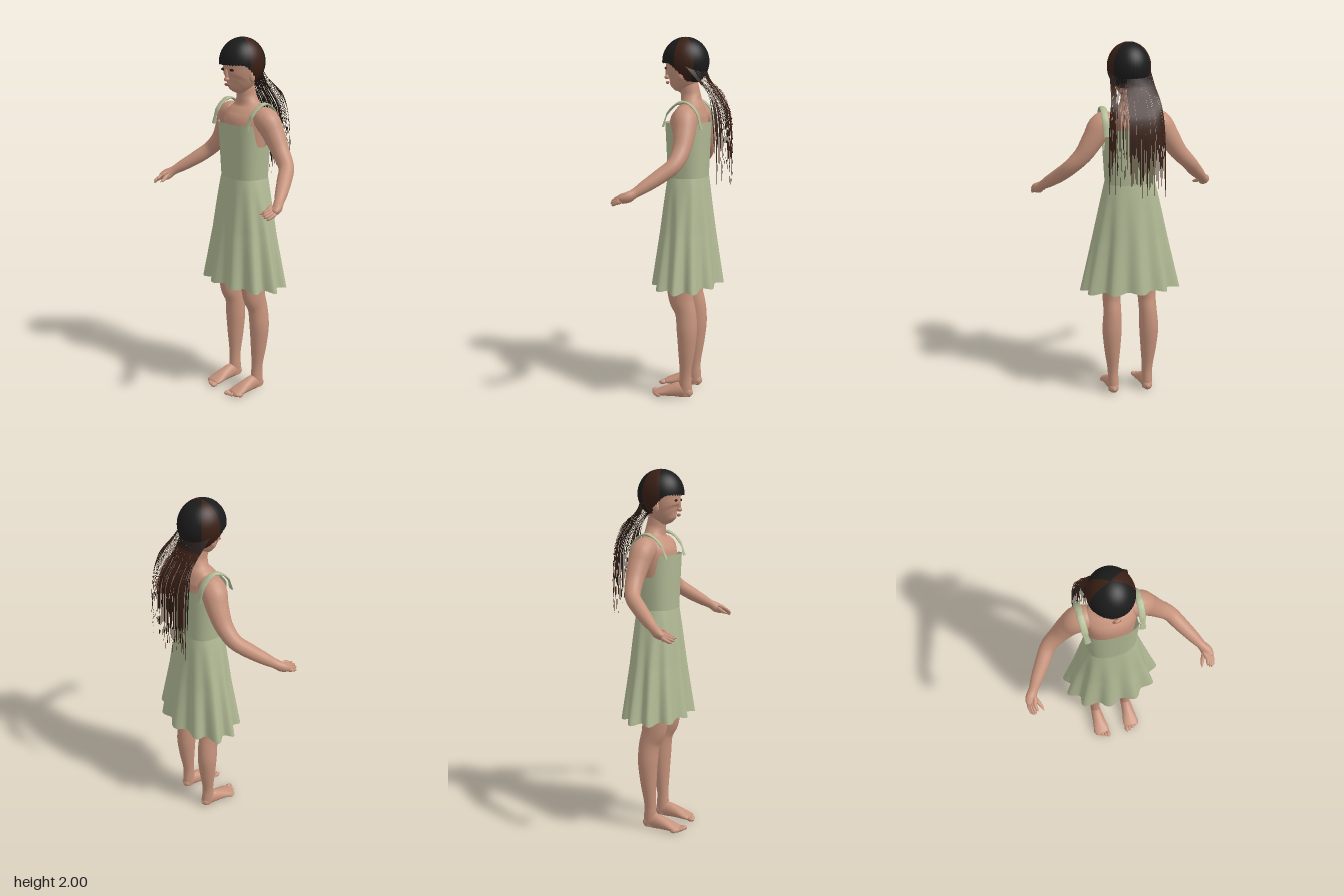
import * as THREE from 'three';
import { mergeVertices, mergeGeometries } from 'three/addons/utils/BufferGeometryUtils.js';

const V = (x, y, z) => new THREE.Vector3(x, y, z);
const { smoothstep, lerp } = THREE.MathUtils;
const TAU = Math.PI * 2;

function paint(name, color, open) {
  const m = new THREE.MeshStandardMaterial({ color });
  m.name = name;
  if (open) m.side = THREE.DoubleSide;
  return m;
}

// Smooth surface from a rule fn(u, v) -> point, u and v in 0..1
function surface(fn, nu, nv) {
  const pos = [], idx = [];
  for (let i = 0; i <= nu; i++)
    for (let j = 0; j <= nv; j++) pos.push(...fn(i / nu, j / nv).toArray());
  for (let i = 0; i < nu; i++)
    for (let j = 0; j < nv; j++) {
      const a = i * (nv + 1) + j, b = a + nv + 1;
      idx.push(a, a + 1, b, a + 1, b + 1, b);
    }
  let g = new THREE.BufferGeometry();
  g.setAttribute('position', new THREE.Float32BufferAttribute(pos, 3));
  g.setIndex(idx);
  g = mergeVertices(g, 1e-5);
  g.computeVertexNormals();
  return g;
}

// Elliptical rings along a smooth path; rows are [x, y, z, r1, r2]
function loft(rows, { k = 1, ref = V(1, 0, 0), nu = 40, nv = 24 } = {}) {
  const path = new THREE.CatmullRomCurve3(rows.map(r => V(r[0] * k, r[1], r[2])));
  const radii = new THREE.CatmullRomCurve3(rows.map(r => V(r[3], r[4] ?? r[3], 0)));
  return surface((u, v) => {
    const t = path.getTangent(u), r = radii.getPoint(u);
    const s = ref.clone().addScaledVector(t, -ref.dot(t)).normalize();
    const b = t.clone().cross(s), a = (v % 1) * TAU;
    return path.getPoint(u).addScaledVector(s, Math.cos(a) * r.x).addScaledVector(b, Math.sin(a) * r.y);
  }, nu, nv);
}

export function createModel() {
  const model = new THREE.Group();
  model.name = 'girlInDress';
  const skin = paint('skin', 0xc6937c), cloth = paint('sageCloth', 0xb0b994, true);
  const black = paint('blackHair', 0x1c1b1b, true), brown = paint('brownHair', 0x3a2015, true);
  const lip = paint('lip', 0xa5655a), eye = paint('eye', 0x2a1a16);
  const add = (name, geo, mat, parent = model) => {
    const m = new THREE.Mesh(geo, mat);
    m.name = name;
    parent.add(m);
    return m;
  };
  const ball = (name, mat, p, s) => {
    const m = add(name, new THREE.SphereGeometry(1, 16, 12), mat);
    m.position.set(...p);
    m.scale.set(...s);
  };

  // Torso with neck, and head
  add('torso', loft([
    [0, 1.28, -.015, .12, .09], [0, 1.42, -.015, .13, .095], [0, 1.54, -.02, .14, .103],
    [0, 1.59, -.03, .142, .088], [0, 1.63, -.035, .115, .068], [0, 1.66, -.033, .072, .056],
    [0, 1.70, -.027, .052, .053], [0, 1.78, -.01, .05, .05]]), skin);
  add('head', loft([
    [0, 1.716, .06, .004, .004], [0, 1.724, .055, .032, .038], [0, 1.75, .036, .06, .068],
    [0, 1.78, .02, .078, .088], [0, 1.82, .01, .09, .1], [0, 1.87, 0, .1, .111],
    [0, 1.93, 0, .09, .1], [0, 1.975, 0, .04, .05]]), skin);
  ball('nose', skin, [0, 1.786, .106], [.015, .012, .015]);
  ball('noseBridge', skin, [0, 1.812, .104], [.009, .03, .011]);
  ball('lips', lip, [0, 1.757, .102], [.023, .008, .008]);

  for (const k of [1, -1]) {
    const side = k > 0 ? 'left' : 'right';
    ball(side + 'Eye', eye, [k * .036, 1.835, .1], [.017, .007, .006]);
    ball(side + 'Ear', skin, [k * .09, 1.80, .005], [.012, .03, .018]);

    // Arm, palm and fingers
    add(side + 'Arm', loft([
      [.1, 1.58, -.035, .058], [.155, 1.57, -.04, .068], [.205, 1.5, -.05, .059], [.262, 1.415, -.05, .048],
      [.328, 1.347, -.03, .041], [.375, 1.297, .025, .039], [.43, 1.245, .095, .032], [.462, 1.215, .138, .025],
      [.482, 1.195, .168, .026, .032], [.49, 1.18, .2, .018, .028], [.492, 1.175, .212, .004]],
    { k, ref: V(0, 0, 1) }), skin);
    for (let i = 0; i < 4; i++) {
      const x = .508 - i * .011, y = 1.165 + i * .009, n = i === 1 || i === 2 ? .008 : 0;
      add(side + 'Finger', loft([[x - .012, y + .018, .185, .009], [x - .002, y + .004, .215, .009],
        [x - .006, y - .008, .24 + n, .008], [x - .01, y - .013, .25 + n, .001]],
      { k, nu: 10, nv: 10 }), skin);
    }
    add(side + 'Thumb', loft([[.475, 1.2, .165, .013], [.458, 1.187, .195, .012], [.443, 1.174, .225, .009],
      [.436, 1.168, .25, .002]], { k, nu: 12, nv: 10 }), skin);

    // Leg, foot and toes
    add(side + 'Leg', loft([
      [.09, 1.02, 0, .07, .085], [.097, .8, .005, .06, .08], [.1, .64, .004, .052, .074],
      [.102, .57, -.004, .05, .069], [.103, .5, -.028, .05, .059], [.107, .4, -.037, .054, .057],
      [.106, .28, -.035, .046, .047], [.101, .13, -.027, .03, .033], [.1, .06, -.027, .03, .037],
      [.1, .015, -.03, .028, .034]], { k, nu: 48 }), skin);
    add(side + 'Foot', loft([
      [.1, .03, -.072, .004], [.1, .032, -.055, .026, .028], [.1, .044, 0, .032, .043],
      [.1, .035, .06, .039, .034], [.098, .022, .115, .047, .021], [.097, .015, .145, .043, .014],
      [.096, .013, .155, .01, .004]], { k }), skin);
    for (let i = 0; i < 5; i++)
      ball(side + 'Toe', skin, [k * (.063 + i * .019), .013, .16 - i * i * .0022],
        i ? [.0095, .011, .018] : [.014, .013, .021]);

    // Shoulder strap
    add(side + 'Strap', loft([
      [.142, 1.53, .085, .017, .005], [.147, 1.6, .058, .017, .005], [.15, 1.65, .005, .018, .006],
      [.15, 1.658, -.045, .018, .006], [.149, 1.61, -.1, .019, .006], [.143, 1.52, -.125, .02, .006]],
    { k, nv: 12 }), cloth);
  }

  // Bodice: rounded-square section, dipping under the arms
  const pow = (c, p) => Math.sign(c) * Math.abs(c) ** p;
  add('bodice', surface((u, v) => {
    const a = (v % 1) * TAU, c = Math.cos(a), s = -Math.sin(a);
    const top = 1.548 - .12 * smoothstep(Math.abs(c), .9, 1);
    const y = lerp(1.245, top, u), h = (y - 1.245) / .3;
    return V(pow(c, .78) * lerp(.136, .154, h), y, -.016 + pow(s, .78) * lerp(.105, .117, h));
  }, 16, 72), cloth);

  // Skirt: flares down into rounded folds
  add('skirt', surface((u, v) => {
    const a = (v % 1) * TAU, c = Math.cos(a), s = -Math.sin(a), f = 1 - u;
    const fold = 1 + .085 * f * Math.cos(11 * a + .6) + .02 * f * Math.sin(5 * a);
    const p = lerp(.78, 1, Math.min(1, f * 2)), flare = f ** .92;
    return V(pow(c, p) * lerp(.137, .262, flare) * fold,
      1.25 - f * (.592 + .015 * c * c + .006 * Math.cos(11 * a)),
      -.016 + pow(s, p) * lerp(.106, .18, flare) * fold);
  }, 24, 176), cloth);

  // Hair cap in sectors, measured from the front: low at the back, fringe in front
  const cap = (a0, a1) => surface((u, v) => {
    const a = lerp(a0, a1, v);
    const bottom = 1.862 - .105 * smoothstep(Math.abs(a), .9, 2.1) + .004 * Math.sin(a * 45);
    const p = u * Math.acos((bottom - 1.87) / .13), r = Math.sin(p);
    return V(Math.sin(a) * .117 * r, 1.87 + .13 * Math.cos(p), Math.cos(a) * .128 * r);
  }, 20, 40);
  add('fringe', cap(-1.3, 1.3), black);
  add('capBack', cap(2.15, TAU - 2.15), black);
  for (const k of [1, -1]) add('capSide', k > 0 ? cap(1.3, 2.15) : cap(-2.15, -1.3), brown);

  // Long hair: ribbons swept from the head over the back, thin and sparse on one side
  let seed = 7;
  const rnd = () => (seed = (seed * 16807) % 2147483647) / 2147483647;
  const strand = (s, t, end, dz) => {
    const q = 1 - s * s, e = .035 * s ** 4 + dz;
    return new THREE.CatmullRomCurve3([
      V(.112 * s, 1.845 - .02 * q, -.03 - .085 * q), V(.12 * s, 1.775, -.095 - .035 * q),
      V(.132 * s, 1.7, -.18 + dz), V(.145 * s, 1.61, -.235 + e),
      V(.153 * s, 1.44, -.25 + e), V(.156 * s, end, -.25 + e)]).getPoint(t);
  };
  const layers = [['longHair', brown, 48, 0, 1.2], ['innerHair', black, 40, .016, 1.26]];
  for (const [name, mat, count, depth, low] of layers) {
    const ribbons = [];
    for (let i = 0; i < count; i++) {
      const s = -1 + (2 * i + 1) / count, sparse = s > .32 && s < .78;
      const w = (sparse ? .22 : depth ? .6 : .98) / count;
      const end = low + rnd() * (s > 0 ? .22 : .14), dz = depth + rnd() * .008;
      ribbons.push(surface((u, v) =>
        strand(s + (v * 2 - 1) * w * (1 - .65 * smoothstep(u, .65, 1)), u, end, dz), 20, 2));
    }
    add(name, mergeGeometries(ribbons), mat);
  }
  return model;
}
